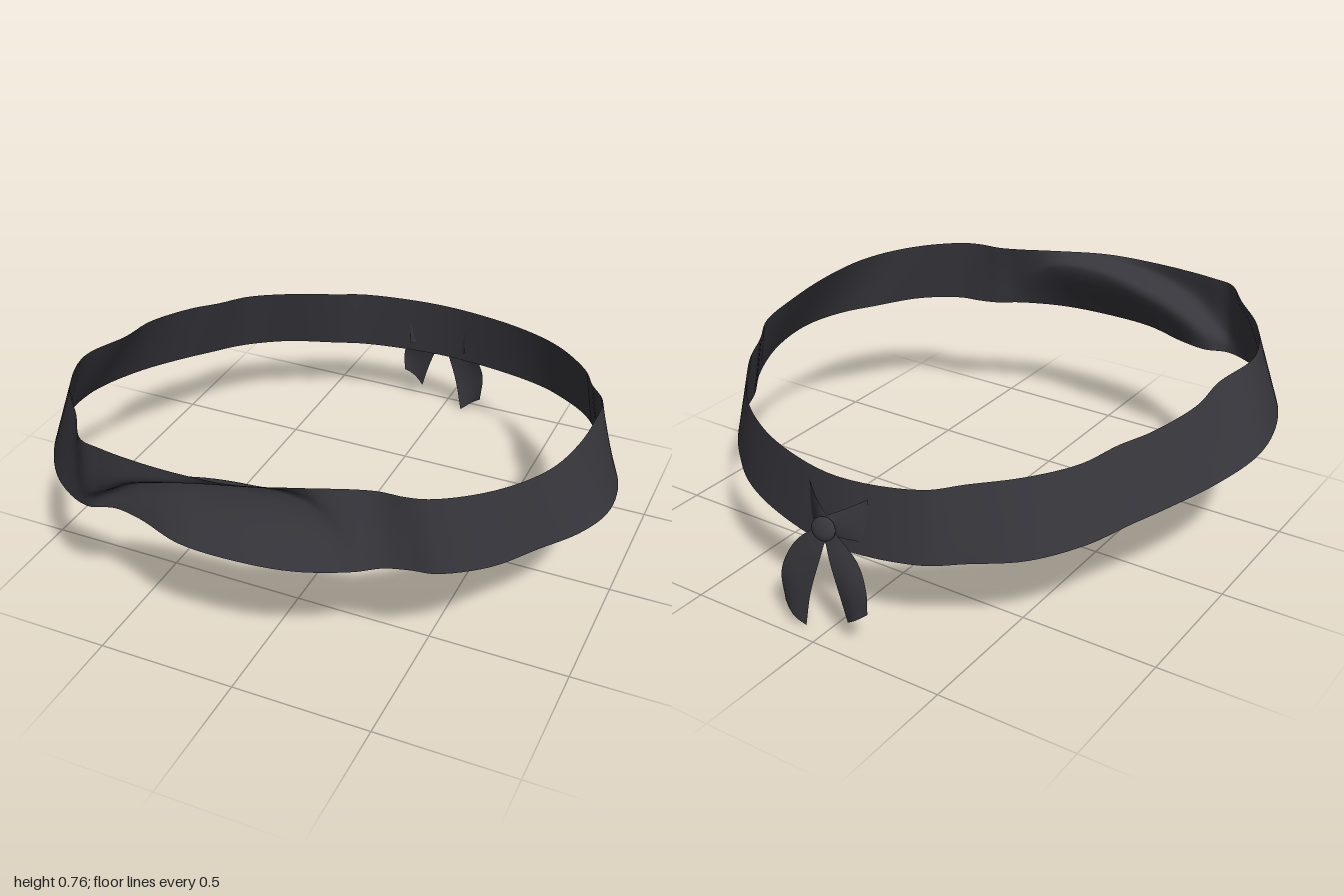
import * as THREE from 'three';

const cloth = new THREE.MeshStandardMaterial({ color: 0x36363c, side: THREE.DoubleSide });
cloth.name = 'charcoal cloth';

// Smooth surface through a grid of points: rows[i][j]
function loft(rows, closed = false) {
  const n = rows.length, m = rows[0].length, index = [];
  for (let i = 0; i < (closed ? n : n - 1); i++) {
    for (let j = 0; j < m - 1; j++) {
      const a = i * m + j, b = ((i + 1) % n) * m + j;
      index.push(a, a + 1, b, b, a + 1, b + 1);
    }
  }
  const geo = new THREE.BufferGeometry().setFromPoints(rows.flat());
  geo.setIndex(index);
  geo.computeVertexNormals();
  return geo;
}

function part(name, geometry) {
  const mesh = new THREE.Mesh(geometry, cloth);
  mesh.name = name;
  return mesh;
}

// Heights of the band's edges, sloping down to the back
const bottomY = (x, z) => 0.44 + 0.01 * x + 0.115 * z - 0.065 * z * z;
const topY = z => 0.685 + 0.13 * z - 0.05 * z * z;

// Folded front: bottom x, z, top x, z, then rim z, height and waist z, height (as fractions)
const front = [
  [-0.58, 0.88, -0.56, 0.895, 0.895, 0.3, 0.885, 0.12],
  [-0.49, 0.855, -0.48, 0.915, 0.915, 0.42, 0.855, 0.25],
  [-0.38, 0.875, -0.38, 0.93, 0.93, 0.64, 0.84, 0.48],
  [-0.2, 0.94, -0.2, 0.94, 0.935, 0.84, 0.835, 0.68],
  [0, 0.95, 0, 0.925, 0.9, 0.92, 0.84, 0.8],
  [0.2, 0.925, 0.2, 0.85, 0.84, 0.9, 0.83, 0.75],
];

// Rest of the band: bottom x, z, top x, z
const around = [
  [0.37, 0.855, 0.34, 0.79], [0.45, 0.8, 0.42, 0.765], [0.53, 0.775, 0.5, 0.76],
  [0.61, 0.76, 0.57, 0.74], [0.75, 0.66, 0.68, 0.66], [0.86, 0.5, 0.78, 0.54],
  [0.95, 0.36, 0.85, 0.39], [1, 0.2, 0.88, 0.2], [0.985, 0, 0.88, 0],
  [0.91, -0.19, 0.86, -0.18], [0.83, -0.31, 0.79, -0.3], [0.78, -0.43, 0.74, -0.41],
  [0.71, -0.54, 0.67, -0.51], [0.61, -0.64, 0.57, -0.62], [0.49, -0.73, 0.46, -0.7],
  [0.29, -0.81, 0.28, -0.78], [0, -0.86, 0, -0.83], [-0.3, -0.81, -0.29, -0.77],
  [-0.43, -0.74, -0.4, -0.69], [-0.6, -0.64, -0.55, -0.58], [-0.73, -0.49, -0.67, -0.45],
  [-0.8, -0.35, -0.73, -0.31], [-0.87, -0.21, -0.79, -0.2], [-0.95, -0.02, -0.85, 0],
  [-1, 0.2, -0.85, 0.17], [-0.98, 0.4, -0.885, 0.38], [-0.9, 0.6, -0.8, 0.6],
  [-0.75, 0.79, -0.66, 0.77],
];

function makeBand() {
  const stations = [...front, ...around];
  const edges = [[], [], [], []]; // top, rim, waist, bottom
  for (const [bx, bz, tx, tz, rimZ, rimF = 0.67, waistZ, waistF = 0.33] of stations) {
    const b = new THREE.Vector3(bx, bottomY(bx, bz), bz);
    const t = new THREE.Vector3(tx, topY(tz), tz);
    const rim = b.clone().lerp(t, rimF), waist = b.clone().lerp(t, waistF);
    rim.z = rimZ ?? rim.z;
    waist.z = waistZ ?? waist.z;
    [t, rim, waist, b].forEach((p, k) => edges[k].push(p));
  }
  const rails = edges.map(p => new THREE.CatmullRomCurve3(p, true));
  const rows = [], steps = stations.length * 6;
  for (let i = 0; i < steps; i++) {
    const section = new THREE.CatmullRomCurve3(rails.map(r => r.getPoint(i / steps)));
    rows.push(section.getPoints(15));
  }
  return part('headband', loft(rows, true));
}

// Ribbon between two edge paths, each a short list of [x, y, z]
function ribbon(name, edgeA, edgeB) {
  const [a, b] = [edgeA, edgeB].map(e =>
    new THREE.CatmullRomCurve3(e.map(p => new THREE.Vector3(...p))).getPoints(16));
  const rows = a.map((p, i) => [0, 0.25, 0.5, 0.75, 1].map(t => {
    const q = p.clone().lerp(b[i], t);
    q.z -= 0.015 * Math.sin(Math.PI * t) * (i / 16);
    return q;
  }));
  return part(name, loft(rows));
}

export function createModel() {
  const model = new THREE.Group();
  model.name = 'tiedHeadband';
  model.add(makeBand());

  const bow = new THREE.Group();
  bow.name = 'bow';

  // Flattened, tilted knot
  const knot = part('knot', new THREE.SphereGeometry(1, 20, 14));
  knot.scale.set(0.048, 0.04, 0.016);
  knot.rotation.x = 0.35;
  knot.position.set(0, 0.39, -0.915);
  bow.add(knot);

  // Flared straps from the band into the knot
  for (const s of [1, -1]) {
    bow.add(ribbon(s > 0 ? 'leftStrap' : 'rightStrap',
      [[s * 0.12, 0.495, -0.83], [s * 0.055, 0.46, -0.873], [-s * 0.03, 0.415, -0.905]],
      [[s * 0.12, 0.335, -0.835], [s * 0.05, 0.35, -0.875], [-s * 0.03, 0.365, -0.905]]));
  }

  // Hanging tails with slanted ends
  bow.add(ribbon('leftTail',
    [[-0.01, 0.38, -0.905], [0.01, 0.28, -0.93], [0.05, 0.14, -0.94], [0.08, 0, -0.937]],
    [[0.03, 0.39, -0.905], [0.125, 0.3, -0.92], [0.17, 0.19, -0.94], [0.165, 0.07, -0.937]]));
  bow.add(ribbon('rightTail',
    [[0.01, 0.38, -0.905], [-0.03, 0.29, -0.93], [-0.07, 0.19, -0.94], [-0.1, 0.08, -0.937]],
    [[-0.03, 0.39, -0.905], [-0.14, 0.31, -0.92], [-0.185, 0.23, -0.94], [-0.183, 0.14, -0.937]]));

  model.add(bow);
  return model;
}
